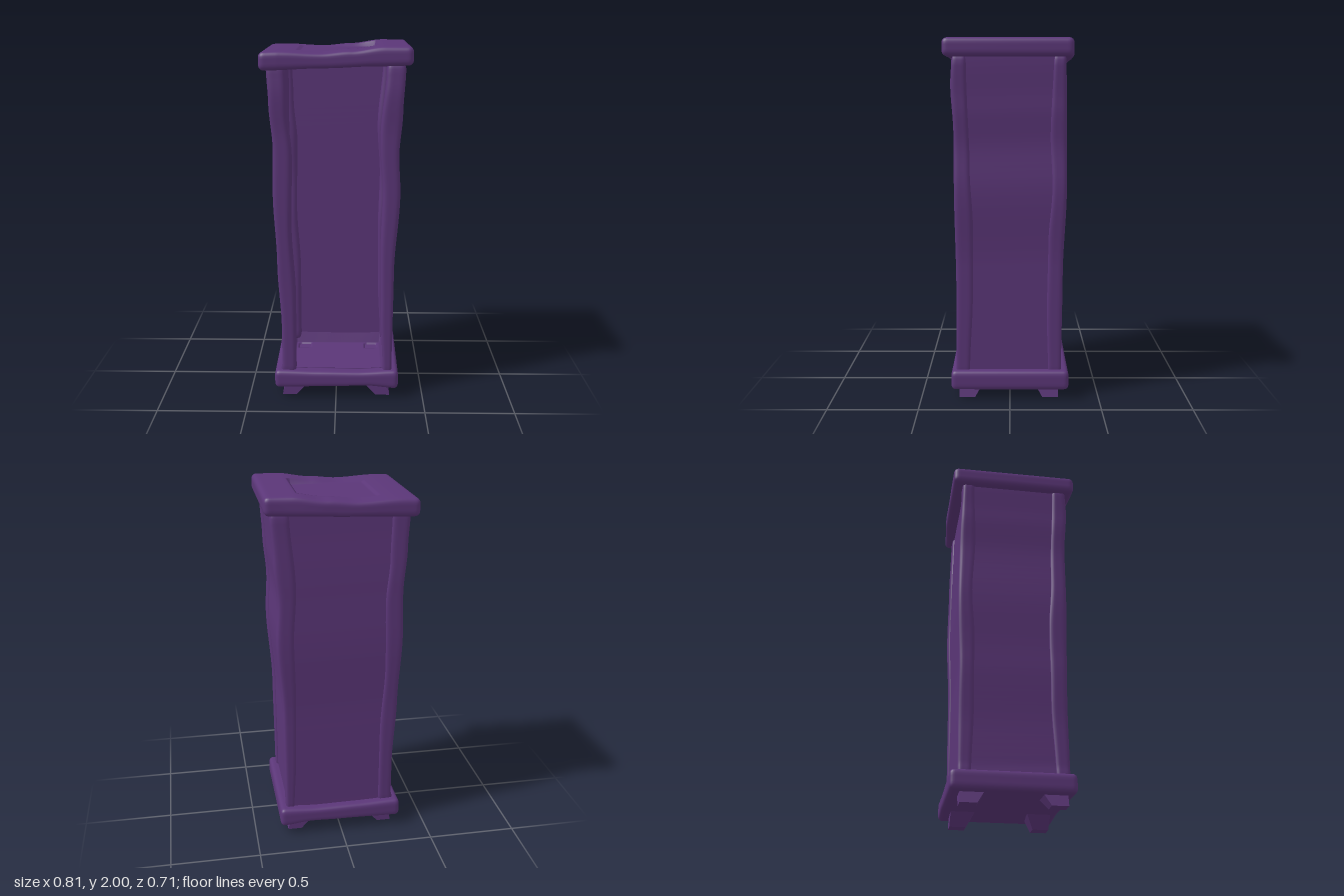
import * as THREE from 'three';
import { mergeVertices } from 'three/addons/utils/BufferGeometryUtils.js';

const purple = new THREE.MeshStandardMaterial({ color: 0x5b3678 });

// Smoothly eased value through [position, value] pairs
function wave(points) {
  return (t) => {
    if (t <= points[0][0]) return points[0][1];
    for (let i = 1; i < points.length; i++) {
      const [a, va] = points[i - 1], [b, vb] = points[i];
      if (t <= b) {
        const k = (t - a) / (b - a);
        return va + (vb - va) * k * k * (3 - 2 * k);
      }
    }
    return points[points.length - 1][1];
  };
}

// Box with rounded edges whose vertices are then moved by a warp rule
function softBox(name, size, radius, segments, warp) {
  let geometry = new THREE.BoxGeometry(...size, ...segments);
  const p = geometry.attributes.position;
  const v = new THREE.Vector3(), core = new THREE.Vector3();
  const inner = new THREE.Vector3(...size).multiplyScalar(0.5).subScalar(radius);
  for (let i = 0; i < p.count; i++) {
    v.fromBufferAttribute(p, i);
    if (radius > 0) {
      core.copy(v).clamp(inner.clone().negate(), inner);
      v.sub(core).setLength(radius).add(core);
    }
    warp(v);
    p.setXYZ(i, v.x, v.y, v.z);
  }
  if (radius > 0) {
    geometry.deleteAttribute('uv');
    geometry.deleteAttribute('normal');
    geometry = mergeVertices(geometry, 1e-5);
  }
  geometry.computeVertexNormals();
  const mesh = new THREE.Mesh(geometry, purple);
  mesh.name = name;
  return mesh;
}

// Wobbly outlines of the cabinet, by height
const leftOut = wave([[0.14, 0.32], [0.2, 0.31], [0.4, 0.31], [0.8, 0.33], [1.2, 0.347], [1.45, 0.342], [1.7, 0.36], [1.9, 0.37]]);
const leftIn = wave([[0.14, 0.23], [0.6, 0.23], [1.0, 0.25], [1.4, 0.242], [1.65, 0.262], [1.9, 0.27]]);
const rightOut = wave([[0.14, 0.32], [0.75, 0.325], [1.2, 0.352], [1.42, 0.342], [1.65, 0.358], [1.9, 0.37]]);
const rightIn = wave([[0.14, 0.27], [0.5, 0.255], [0.9, 0.25], [1.2, 0.257], [1.5, 0.24], [1.9, 0.27]]);
const frontOut = wave([[0.14, 0.302], [0.6, 0.298], [1.2, 0.305], [1.5, 0.305], [1.75, 0.318], [1.9, 0.31]]);
const frontIn = wave([[0.14, 0.225], [0.6, 0.205], [1.0, 0.2], [1.3, 0.215], [1.9, 0.23]]);
const backOut = wave([[0.14, 0.288], [0.7, 0.293], [1.2, 0.31], [1.5, 0.308], [1.9, 0.3]]);
const backIn = wave([[0.14, 0.215], [0.5, 0.205], [0.9, 0.21], [1.2, 0.228], [1.5, 0.215], [1.9, 0.23]]);

// Slab surfaces, by x
const lidTop = wave([[-0.4, 1.97], [-0.3, 1.973], [-0.08, 1.963], [0.08, 1.976], [0.26, 1.998], [0.4, 1.998]]);
const lidUnder = wave([[-0.4, 1.873], [-0.05, 1.885], [0.2, 1.895], [0.4, 1.9]]);
const baseTop = wave([[-0.35, 0.163], [-0.1, 0.157], [0.12, 0.155], [0.35, 0.166]]);
const baseUnder = wave([[-0.35, 0.058], [0.0, 0.066], [0.17, 0.071], [0.35, 0.055]]);

export function createModel() {
  const model = new THREE.Group();
  model.name = 'cabinet';
  const mix = THREE.MathUtils.lerp;

  // Lid with a level recess cut into its sloping top
  model.add(softBox('lid', [0.81, 0.1, 0.712], 0.028, [80, 8, 72], (v) => {
    const { x, y, z } = v;
    v.y = mix(lidUnder(x), lidTop(x), y / 0.1 + 0.5);
    if (y > 0.04 && x > -0.21 && x < 0.22 && z > -0.228 && z < 0.178) v.y = Math.min(v.y, 1.962);
    if (z < 0) v.z *= 1 - 0.05 * THREE.MathUtils.smoothstep(x, 0.1, 0.4);
    else v.z *= 1 - 0.025 * Math.cos(x * 5) * (x > -0.3 ? 1 : 0.3);
  }));

  // Base slab with a sunken floor and a shallow pocket above each foot
  model.add(softBox('base', [0.71, 0.1, 0.66], 0.025, [72, 8, 66], (v) => {
    const { x, y, z } = v;
    v.y = mix(baseUnder(x), baseTop(x), y / 0.1 + 0.5);
    if (y > 0.04 && Math.abs(x) < 0.275 && Math.abs(z) < 0.255) {
      const pocket = Math.abs(Math.abs(x) - 0.21) < 0.035 && Math.abs(Math.abs(z) - 0.2) < 0.035;
      v.y = pocket ? 0.076 : 0.095;
    }
    v.x += 0.003;
  }));

  // Four rounded wavy corner posts
  for (const sx of [-1, 1]) {
    for (const sz of [-1, 1]) {
      const [xOut, xIn] = sx > 0 ? [rightOut, rightIn] : [leftOut, leftIn];
      const [zOut, zIn] = sz > 0 ? [frontOut, frontIn] : [backOut, backIn];
      const name = (sz > 0 ? 'front' : 'back') + (sx > 0 ? 'Left' : 'Right') + 'Post';
      model.add(softBox(name, [0.09, 1.78, 0.09], 0.022, [8, 60, 8], (v) => {
        v.y += 1.02;
        const kx = (v.x * sx) / 0.09 + 0.5, kz = (v.z * sz) / 0.09 + 0.5;
        v.x = sx * mix(xIn(v.y), xOut(v.y), kx);
        v.z = sz * mix(zIn(v.y), zOut(v.y), kz);
      }));
    }
  }

  // Side panels: wavy outside, straight inside
  for (const sx of [-1, 1]) {
    const out = sx > 0 ? rightOut : leftOut;
    model.add(softBox(sx > 0 ? 'leftPanel' : 'rightPanel', [1, 1.78, 0.53], 0, [1, 50, 1], (v) => {
      v.y += 1.02;
      v.x = sx * (v.x * sx > 0 ? out(v.y) - 0.012 : 0.287);
    }));
  }

  // Back panel
  model.add(softBox('backPanel', [0.58, 1.78, 1], 0, [1, 50, 1], (v) => {
    v.y += 1.02;
    v.z = v.z < 0 ? -(backOut(v.y) - 0.012) : -0.262;
  }));

  // Splayed feet
  for (const sx of [-1, 1]) {
    for (const sz of [-1, 1]) {
      model.add(softBox('foot', [1, 0.085, 1], 0, [1, 1, 1], (v) => {
        const top = v.y > 0;
        v.y += 0.0425;
        v.x = sx * (v.x * sx > 0 ? (top ? 0.29 : 0.31) : (top ? 0.15 : 0.23));
        v.z = sz * (v.z * sz > 0 ? 0.28 : (top ? 0.14 : 0.19)) + 0.007;
      }));
    }
  }
  return model;
}
